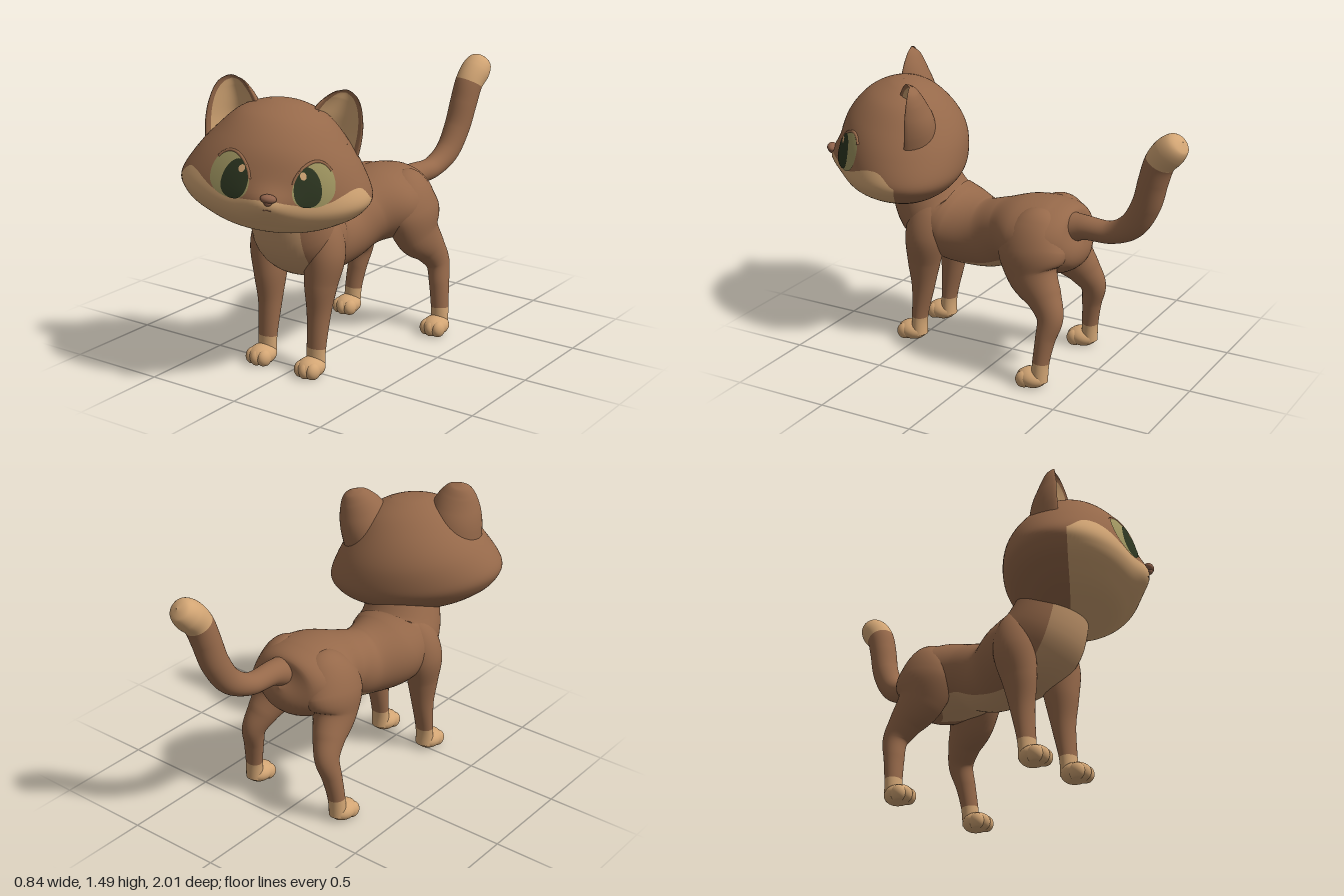
import * as THREE from 'three';

const V = (x, y, z) => new THREE.Vector3(x, y, z);
const { clamp } = THREE.MathUtils;
const mat = (name, color) => Object.assign(new THREE.MeshStandardMaterial({ color }), { name });

// Smooth interpolation through the rows of a small table
function spline(rows, t) {
  const n = rows.length - 1, i = clamp(Math.floor(t), 0, n - 1), f = t - i;
  const [p, q, r, s] = [-1, 0, 1, 2].map(k => [].concat(rows[clamp(i + k, 0, n)]));
  return q.map((v, k) => v + 0.5 * f * (r[k] - p[k]
    + f * (2 * p[k] - 5 * v + 4 * r[k] - s[k] + f * (3 * (v - r[k]) + s[k] - p[k]))));
}

// Surface through elliptical rings [x, y, z, radiusAcross, radiusDeep]
function loft(rows) {
  const centre = t => V(...spline(rows, t).slice(0, 3));
  return (s, a) => {
    const t = clamp(s, 0, rows.length - 1), [x, y, z, ru, rv] = spline(rows, t);
    const dir = centre(Math.min(t + 0.02, rows.length - 1)).sub(centre(Math.max(t - 0.02, 0))).normalize();
    const u = V(1, 0, 0).addScaledVector(dir, -dir.x).normalize(), v = dir.clone().cross(u);
    return V(x, y, z).addScaledVector(u, Math.max(ru, 1e-4) * Math.sin(a))
      .addScaledVector(v, Math.max(rv, 1e-4) * Math.cos(a));
  };
}

const normalAt = (surf, s, a, e = 0.004) => surf(s + e, a).sub(surf(s - e, a))
  .cross(surf(s, a + e).sub(surf(s, a - e))).normalize();

// Mesh over part of a surface; map turns (p, q) in 0..1 into surface coordinates
function patch(name, material, surf, map, n, m, lift = 0) {
  const pos = [], nor = [], idx = [];
  for (let i = 0; i <= n; i++) for (let j = 0; j <= m; j++) {
    const [s, a] = map(i / n, j / m), nrm = normalAt(surf, s, a);
    pos.push(...surf(s, a).addScaledVector(nrm, lift));
    nor.push(...nrm);
    if (i < n && j < m) {
      const k = i * (m + 1) + j;
      idx.push(k, k + m + 1, k + 1, k + 1, k + m + 1, k + m + 2);
    }
  }
  const g = new THREE.BufferGeometry();
  g.setAttribute('position', new THREE.Float32BufferAttribute(pos, 3));
  g.setAttribute('normal', new THREE.Float32BufferAttribute(nor, 3));
  g.setIndex(idx);
  return Object.assign(new THREE.Mesh(g, material), { name });
}

const tube = (name, material, surf, s0, s1) =>
  patch(name, material, surf, (p, q) => [s0 + (s1 - s0) * p, q * 2 * Math.PI], Math.ceil((s1 - s0) * 8), 40);

function ball(name, material, c, r, floor = -9) {
  const g = new THREE.SphereGeometry(1, 28, 20).scale(...r).translate(...c), P = g.attributes.position;
  for (let i = 0; i < P.count; i++) P.setY(i, Math.max(P.getY(i), floor));
  g.computeVertexNormals();
  return Object.assign(new THREE.Mesh(g, material), { name });
}

export function createModel() {
  const brown = mat('brownFur', 0x96694a), tan = mat('tanFur', 0xd2a574), belly = mat('bellyFur', 0xc0946a);
  const olive = mat('eyeOlive', 0x9c925e), dark = mat('pupilGreen', 0x2c3520), rose = mat('noseBrown', 0x8f624b);
  const cat = new THREE.Group();
  cat.name = 'cat';

  // Neck and trunk as one sweep, with a pale strip along throat and belly
  const trunk = loft([
    [0, 0.95, 0.55, 0.17, 0.16], [-0.03, 0.72, 0.47, 0.22, 0.2], [-0.04, 0.64, 0.33, 0.225, 0.2],
    [-0.01, 0.625, 0.15, 0.172, 0.18], [0.01, 0.67, 0, 0.188, 0.17], [0.03, 0.7, -0.14, 0.255, 0.185],
    [0.033, 0.7, -0.28, 0.258, 0.185], [0.035, 0.7, -0.39, 0.175, 0.14], [0.035, 0.71, -0.43, 0, 0]]);
  const strip = [0.8, 0.72, 0.52, 0.75, 0.8, 0.5, 0, 0, 0];
  const half = s => Math.max(spline(strip, s)[0], 0);
  cat.add(patch('trunk', brown, trunk, (p, q) => {
    const s = p * 8, h = half(s);
    return [s, h + q * (2 * Math.PI - 2 * h)];
  }, 64, 44));
  cat.add(patch('chestAndBelly', belly, trunk, (p, q) => [p * 6, (2 * q - 1) * half(p * 6)], 48, 16));

  // Tail with pale tip
  const tail = loft([
    [0.055, 0.76, -0.33, 0.1, 0.09], [0.07, 0.785, -0.44, 0.064, 0.062], [0.08, 0.79, -0.59, 0.058, 0.056],
    [0.1, 0.855, -0.71, 0.062, 0.066], [0.115, 0.975, -0.785, 0.068, 0.071], [0.13, 1.11, -0.825, 0.072, 0.072],
    [0.14, 1.21, -0.86, 0.074, 0.074], [0.15, 1.275, -0.915, 0.077, 0.077], [0.155, 1.315, -0.96, 0.056, 0.056],
    [0.157, 1.328, -0.976, 0, 0]]);
  cat.add(tube('tail', brown, tail, 0, 6), tube('tailTip', tan, tail, 6, 9));

  // Legs: rings from ankle to shoulder or hip, x measured from the middle of the pair
  const frontRows = [
    [0.15, 0.03, 0.5, 0.05, 0.042], [0.15, 0.13, 0.495, 0.051, 0.04], [0.15, 0.3, 0.472, 0.06, 0.06],
    [0.155, 0.45, 0.46, 0.08, 0.088], [0.165, 0.6, 0.44, 0.098, 0.108], [0.125, 0.72, 0.425, 0.098, 0.1],
    [0.08, 0.8, 0.41, 0.06, 0.06], [0.06, 0.83, 0.4, 0, 0]];
  const backRows = [
    [0.28, 0.03, -0.325, 0.046, 0.042], [0.275, 0.13, -0.33, 0.047, 0.042], [0.26, 0.25, -0.345, 0.053, 0.05],
    [0.24, 0.36, -0.36, 0.06, 0.068], [0.215, 0.45, -0.315, 0.078, 0.092], [0.188, 0.55, -0.24, 0.1, 0.14],
    [0.165, 0.66, -0.22, 0.122, 0.18], [0.115, 0.77, -0.22, 0.115, 0.14], [0.06, 0.83, -0.21, 0.06, 0.07],
    [0.05, 0.85, -0.21, 0, 0]];
  for (const [label, rows, mid] of [['front', frontRows, -0.04], ['back', backRows, 0.03]])
    for (const side of [1, -1]) {
      const leg = new THREE.Group();
      leg.name = label + (side > 0 ? 'LeftLeg' : 'RightLeg');
      const surf = loft(rows.map(([x, ...r]) => [mid + side * x, ...r]));
      const x = mid + side * rows[0][0], z = rows[0][2] + 0.04;
      leg.add(tube('leg', brown, surf, 1, rows.length - 1), tube('sock', tan, surf, 0, 1));
      leg.add(ball('paw', tan, [x, 0.042, z], [0.068, 0.052, 0.078], 0));
      for (const k of [-1, 0, 1])
        leg.add(ball('toe', tan, [x + k * 0.035, 0.036, z + 0.042 - 0.01 * k * k], [0.034, 0.043, 0.042], 0));
      cat.add(leg);
    }

  // Head: rings [height, half width, front depth, back depth] from crown to chin
  const head = new THREE.Group();
  head.name = 'head';
  head.position.set(0, 1.05, 0.63);
  head.rotation.set(0, 0.54, -0.12, 'YXZ');
  cat.add(head);
  const rings = [
    [0.338, 0, 0, 0], [0.325, 0.1, 0.08, 0.08], [0.27, 0.215, 0.19, 0.18], [0.17, 0.31, 0.28, 0.27],
    [0.06, 0.392, 0.325, 0.32], [-0.06, 0.452, 0.34, 0.325], [-0.13, 0.43, 0.335, 0.3],
    [-0.19, 0.36, 0.29, 0.24], [-0.25, 0.22, 0.2, 0.14], [-0.275, 0, 0, 0]];
  const skull = (s, a) => {
    const [y, w, f, b] = spline(rings, clamp(s, 0, 9)), c = Math.cos(a);
    const x = Math.max(w, 1e-4) * Math.sin(a);
    const snout = c > 0 ? 0.045 * c * Math.exp(-((x / 0.11) ** 2) - ((y + 0.07) / 0.07) ** 2) : 0;
    return V(x, y, Math.max(c > 0 ? f : b, 1e-4) * c + snout);
  };
  const edge = 1.42, line = [4.85, 5.0, 5.1, 4.95, 4.68, 4.5, 4.55, 5.1];
  const muzzleTop = a => spline(line, Math.abs(a) / edge * 7)[0];
  const face = q => (2 * q - 1) * edge;
  head.add(patch('forehead', brown, skull, (p, q) => [p * muzzleTop(face(q)), face(q)], 36, 56));
  head.add(patch('muzzle', tan, skull, (p, q) => {
    const top = muzzleTop(face(q));
    return [top + p * (9 - top), face(q)];
  }, 36, 56));
  head.add(patch('backOfHead', brown, skull, (p, q) => [p * 9, edge + q * 2 * (Math.PI - edge)], 60, 48));

  // Nose and mouth
  head.add(ball('nose', rose, [0, -0.037, 0.382], [0.038, 0.021, 0.026]));
  head.add(ball('noseBase', rose, [0, -0.052, 0.382], [0.02, 0.019, 0.02]));
  for (const side of [1, -1]) {
    const pts = [[5.34, 0], [5.42, 0.02], [5.4, 0.04]].map(([s, a]) => skull(s, side * a));
    const lip = new THREE.TubeGeometry(new THREE.CatmullRomCurve3(pts), 10, 0.002, 6);
    head.add(Object.assign(new THREE.Mesh(lip, rose), { name: 'mouth' }));
  }

  for (const side of [1, -1]) {
    // Eyes: thin slanted ovals following the face
    const oval = (s0, a0, rs, ra, slant) => (p, q) => {
      const d = p * ra * Math.sin(q * 2 * Math.PI);
      return [s0 + rs * p * Math.cos(q * 2 * Math.PI) - slant * side * d / ra, side * a0 + d];
    };
    const eye = oval(4.27, 0.5, 0.84, 0.27, 0.28);
    head.add(patch('eye', olive, skull, eye, 12, 40, 0.004));
    head.add(patch('pupil', dark, skull, oval(4.38, 0.405, 0.76, 0.16, 0.1), 10, 36, 0.007));
    head.add(patch('eyeGlint', tan, skull, oval(3.95, 0.36, 0.15, 0.04, 0), 4, 20, 0.0095));
    const lidPts = [];
    for (let i = 0; i <= 12; i++) lidPts.push(skull(...eye(1, 0.3 + 0.4 * i / 12)));
    const lid = new THREE.TubeGeometry(new THREE.CatmullRomCurve3(lidPts), 32, 0.008, 8);
    head.add(Object.assign(new THREE.Mesh(lid, brown), { name: 'upperEyelid' }));

    // Ears: deep rounded shells hollowed at the front, with a pale lining
    const rows = [
      [0, -0.1, -0.01, 0.15, 0.16], [0.02, 0, -0.01, 0.142, 0.145], [0.038, 0.08, -0.01, 0.122, 0.115],
      [0.055, 0.145, -0.015, 0.09, 0.08], [0.066, 0.188, -0.022, 0.052, 0.047], [0.07, 0.207, -0.027, 0, 0],
    ].map(([x, ...r]) => [side * x, ...r]);
    const shell = loft(rows);
    const cup = (s, a) => {
      const p = shell(s, a), c = Math.min(Math.cos(a), 0);
      p.z -= 1.55 * c * c * Math.max(spline(rows, clamp(s, 0, 5))[4], 0);
      return p;
    };
    const ear = new THREE.Group();
    ear.name = side > 0 ? 'leftEar' : 'rightEar';
    ear.position.set(side * 0.212, 0.2, 0);
    ear.rotation.y = side * 0.12;
    ear.add(tube('earShell', brown, cup, 0, 5));
    ear.add(patch('earLining', tan, cup, (p, q) => {
      const s = 3.75 * p;
      return [s, Math.PI + (2 * q - 1) * 0.95 * Math.sqrt(1.001 - p ** 6)];
    }, 24, 20, 0.003));
    head.add(ear);
  }
  return cat;
}
